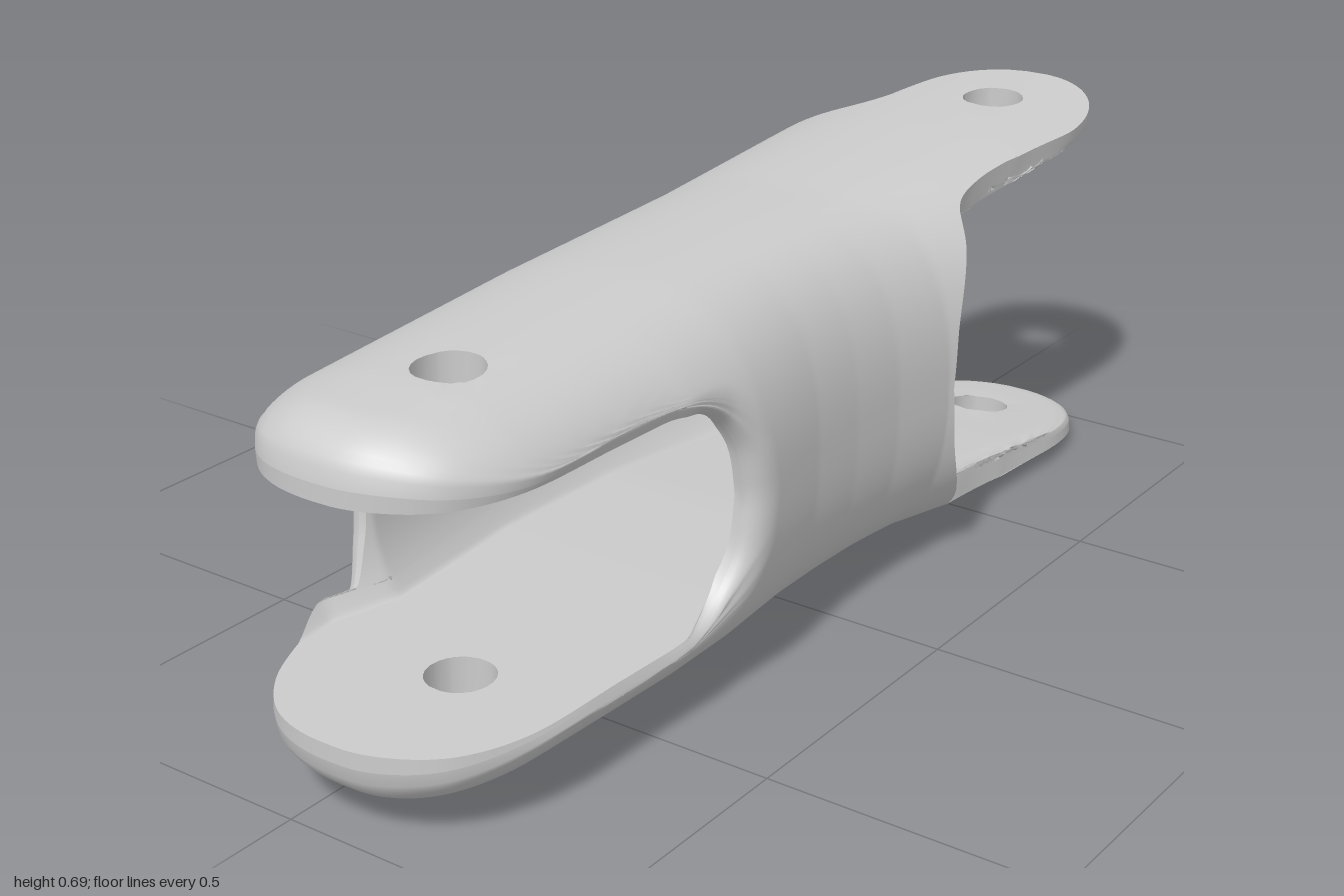
import * as THREE from 'three';

const CX = 0.1, CY = 0.345, POW = 2.5;
const N = 100, ROWS = 44;            // columns per half loop, rows per half length

// piecewise linear table lookup, keys rising in z
function table(keys) {
  return z => {
    if (z <= keys[0][0]) return keys[0][1];
    for (let k = 1; k < keys.length; k++) {
      const [z0, a] = keys[k - 1], [z1, b] = keys[k];
      if (z <= z1) return a + (b - a) * (z - z0) / (z1 - z0);
    }
    return keys[keys.length - 1][1];
  };
}

// section sizes along the length
const halfHeight = table([[-1, 0.345], [-0.6, 0.333], [-0.2, 0.318], [0.3, 0.319], [0.8, 0.305], [1, 0.29]]);
const rightEdge = table([[-1, 0.5], [-0.6, 0.48], [-0.4, 0.42], [-0.25, 0.36], [-0.12, 0.34], [0, 0.335],
  [0.12, 0.338], [0.3, 0.36], [0.45, 0.37], [0.6, 0.37], [1, 0.36]]);
const leftEdge = z => -0.303 + 0.0917 * z;
const cavity = table([[-1, 0.305], [-0.65, 0.262], [0, 0.205], [0.3, 0.19]]);
const rightWall = table([[-0.45, 0.01], [-0.3, 0.055], [0.35, 0.055], [0.45, 0.01]]);
const leftWall = table([[0.6, 0.06], [0.72, 0.01]]);

const spow = (c, p) => Math.sign(c) * Math.abs(c) ** p;
const width = (right, z) => right ? rightEdge(z) - CX : CX - leftEdge(z);

// outer and inner skin at an angle round the section
function outerPoint(a, z) {
  const c = Math.cos(a);
  return new THREE.Vector3(CX + width(c > 0, z) * spow(c, 2 / POW), CY + halfHeight(z) * spow(Math.sin(a), 2 / POW), z);
}
function innerPoint(a, z) {
  const c = Math.cos(a), w = width(c > 0, z) - (c > 0 ? rightWall(z) : leftWall(z));
  const y = (halfHeight(z) - 0.03) * spow(Math.sin(a), 2 / POW), m = cavity(z);
  return new THREE.Vector3(CX + w * spow(c, 2 / POW), CY + THREE.MathUtils.clamp(y, -m, m), z);
}

// rim control points: plate by (x, z), walls by (y, z)
const plate = (x, z) => {
  const d = (x - CX) / width(x > CX, z);
  return [Math.acos(THREE.MathUtils.clamp(spow(d, POW / 2), -1, 1)), z];
};
const wallR = (y, z) => [Math.asin(Math.min(1, ((y - CY) / halfHeight(z)) ** (POW / 2))), z];
const wallL = (y, z) => [Math.PI - wallR(y, z)[0], z];

const frontRim = [
  wallR(CY, 0.31), wallR(0.45, 0.33), wallR(0.52, 0.385), wallR(0.55, 0.46),
  plate(0.32, 0.6), plate(0.312, 0.8), plate(0.27, 0.91), plate(0.18, 0.98), plate(0.07, 1),
  plate(-0.04, 0.975), plate(-0.12, 0.9), plate(-0.17, 0.8), plate(-0.2, 0.72),
  wallL(0.53, 0.67), wallL(0.45, 0.62), wallL(CY, 0.605)];
const rearRim = [
  wallR(CY, -0.26), wallR(0.46, -0.275), wallR(0.57, -0.33),
  plate(0.29, -0.385), plate(0.277, -0.46), plate(0.28, -0.6), plate(0.29, -0.8), plate(0.26, -0.91),
  plate(0.2, -0.975), plate(0.105, -1), plate(0.01, -0.975), plate(-0.055, -0.91), plate(-0.08, -0.82),
  plate(-0.09, -0.76), plate(-0.125, -0.7), plate(-0.2, -0.66), plate(-0.3, -0.635),
  wallL(0.5, -0.625), wallL(CY, -0.62)];

// evenly spaced rim samples, mirrored to the lower half
function sampleRim(points) {
  const curve = new THREE.CatmullRomCurve3(points.map(([a, z]) => new THREE.Vector3(a * 0.4, z, 0)), false, 'centripetal');
  curve.arcLengthDivisions = 800;
  const half = curve.getSpacedPoints(N).map(p => [p.x / 0.4, p.y]);
  return half.concat(half.slice(1, N).reverse().map(([a, z]) => [-a, z]));
}

const nearest = (p, list) => Math.sqrt(list.reduce((m, q) => Math.min(m, p.distanceToSquared(q)), 9));
const roundOff = (d, r) => d >= r ? 0 : 1 - Math.sqrt(1 - (1 - d / r) ** 2);

function skin(points, index) {
  const g = new THREE.BufferGeometry().setFromPoints(points);
  g.setIndex(index);
  g.computeVertexNormals();
  return g;
}

export function createModel() {
  const front = sampleRim(frontRim), rear = sampleRim(rearRim);
  const frontEdge = front.map(p => outerPoint(...p)), rearEdge = rear.map(p => outerPoint(...p));
  const cols = 2 * N, rows = 2 * ROWS + 1;
  const outer = [], inner = [];

  // grid from the front rim to a middle ring to the rear rim
  for (let j = 0; j < rows; j++) {
    const t = (Math.min(j, rows - 1 - j) / ROWS) ** 1.4;
    for (let i = 0; i < cols; i++) {
      const [ra, rz] = j <= ROWS ? front[i] : rear[i];
      const mid = i <= N ? Math.PI * i / N : -Math.PI * (cols - i) / N;
      const a = ra + (mid - ra) * t, z = rz + (0.02 - rz) * t;
      const o = outerPoint(a, z), n = innerPoint(a, z), thick = o.distanceTo(n);
      // rounded edge: outside at the front, inside at the rear
      if (j <= ROWS) o.lerp(n, 0.72 * roundOff(nearest(o, frontEdge), Math.min(0.09, thick)));
      else n.lerp(o, 0.45 * roundOff(nearest(o, rearEdge), 0.03));
      outer.push(o);
      inner.push(n);
    }
  }

  // pin holes: drop the cells inside, pull the border onto the circle
  const holes = [[0.105, 0.735, 0.056], [0.105, -0.82, 0.056]];
  const inHole = p => holes.find(([x, z, r]) => Math.hypot(p.x - x, p.z - z) < r);
  const cut = outer.map(inHole), quads = [], snap = new Map();
  for (let j = 0; j < rows - 1; j++) for (let i = 0; i < cols; i++) {
    const k = (i + 1) % cols;
    const q = [j * cols + i, (j + 1) * cols + i, (j + 1) * cols + k, j * cols + k];
    const hit = q.find(v => cut[v]);
    if (hit === undefined) quads.push(q);
    else q.forEach(v => { if (!cut[v]) snap.set(v, cut[hit]); });
  }
  snap.forEach(([x, z, r], v) => {
    const ang = Math.atan2(outer[v].z - z, outer[v].x - x);
    for (const p of [outer[v], inner[v]]) {
      p.x = x + r * Math.cos(ang);
      p.z = z + r * Math.sin(ang);
    }
  });

  // skins, and a rim along every open edge
  const outIdx = [], inIdx = [], rimIdx = [], edges = new Set(), total = outer.length;
  for (const [a, b, c, d] of quads) {
    outIdx.push(a, b, c, a, c, d);
    inIdx.push(a, c, b, a, d, c);
    [[a, b], [b, c], [c, d], [d, a]].forEach(([s, e]) => edges.add(s * total + e));
  }
  for (const key of edges) {
    const s = Math.floor(key / total), e = key % total;
    if (edges.has(e * total + s)) continue;
    rimIdx.push(e, s, s + total, e, s + total, e + total);
  }

  const material = new THREE.MeshStandardMaterial({ color: 0xcccccc, side: THREE.DoubleSide });
  const group = new THREE.Group();
  group.name = 'linkArm';
  const add = (name, geometry) => {
    const mesh = new THREE.Mesh(geometry, material);
    mesh.name = name;
    group.add(mesh);
  };
  add('outerShell', skin(outer, outIdx));
  add('innerCavity', skin(inner, inIdx));
  add('rimsAndPinHoles', skin(outer.concat(inner), rimIdx));
  return group;
}
